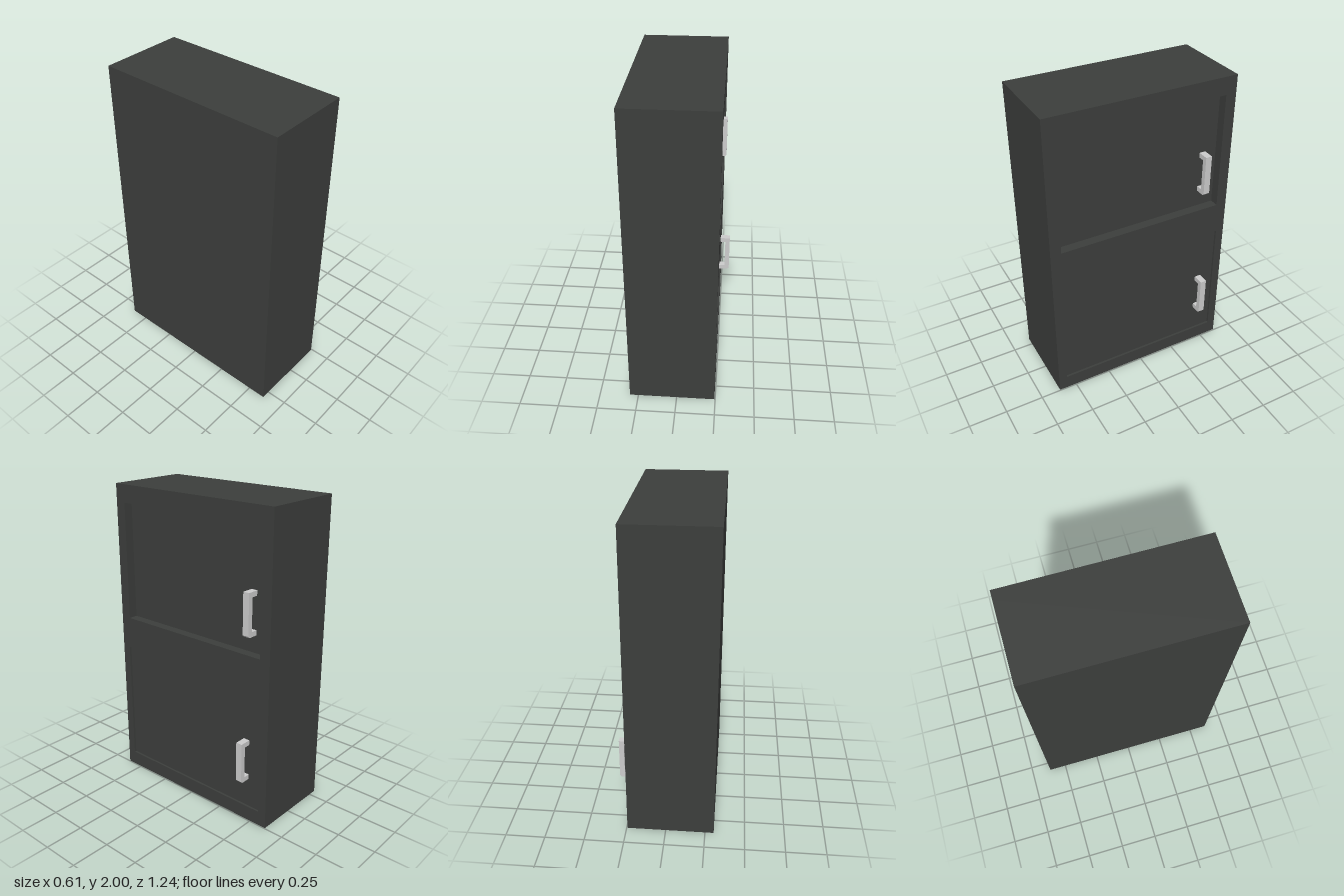
import * as THREE from 'three';

const BACK = -0.305, FRONT = 0.245, HALF = 0.618, HEIGHT = 2;
const FRAME = 0.06; // depth of the door frame, also the upper recess
const dark = new THREE.MeshStandardMaterial({ color: 0x3c3e3c });
const grey = new THREE.MeshStandardMaterial({ color: 0xcccccc });

// Door openings: half width, bottom, top, recess depth, handle base height
const doors = [
  { name: 'upper', half: 0.548, y0: 1.12, y1: 1.885, recess: 0.06, handleY: 1.232 },
  { name: 'lower', half: 0.563, y0: 0.095, y1: 0.91, recess: 0.014, handleY: 0.29 },
];

function rect(Type, half, y0, y1) {
  return new Type([[-half, y0], [half, y0], [half, y1], [-half, y1]]
    .map(([x, y]) => new THREE.Vector2(x, y)));
}

function add(group, name, geometry, material, x, y, z) {
  const mesh = new THREE.Mesh(geometry, material);
  mesh.name = name;
  mesh.position.set(x, y, z);
  group.add(mesh);
  return mesh;
}

// C-shaped pull with a small chamfer on its lower outer corner
function handleGeometry() {
  const reach = 0.074, height = 0.272, bar = 0.032, cut = 0.011;
  const profile = new THREE.Shape([
    [0, 0], [reach - cut, 0], [reach, cut], [reach, height], [0, height],
    [0, height - bar], [reach - bar, height - bar], [reach - bar, bar], [0, bar],
  ].map(([x, y]) => new THREE.Vector2(x, y)));
  return new THREE.ExtrudeGeometry(profile, { depth: 0.042, bevelEnabled: false });
}

export function createModel() {
  const cabinet = new THREE.Group();
  cabinet.name = 'cabinet';

  // Solid carcass behind the frame; its front is the upper door panel
  const depth = FRONT - FRAME - BACK;
  add(cabinet, 'carcass', new THREE.BoxGeometry(depth, HEIGHT, HALF * 2), dark,
    BACK + depth / 2, HEIGHT / 2, 0);

  // Front frame with two door openings, facing +x
  const frame = rect(THREE.Shape, HALF, 0, HEIGHT);
  frame.holes = doors.map((d) => rect(THREE.Path, d.half, d.y0, d.y1));
  add(cabinet, 'doorFrame',
    new THREE.ExtrudeGeometry(frame, { depth: FRAME, bevelEnabled: false }), dark,
    FRONT - FRAME, 0, 0).rotation.y = Math.PI / 2;

  // Door panels and handles
  const pull = handleGeometry();
  for (const d of doors) {
    const thick = FRAME - d.recess;
    if (thick > 0) {
      add(cabinet, d.name + 'DoorPanel',
        new THREE.BoxGeometry(thick, d.y1 - d.y0, d.half * 2), dark,
        FRONT - FRAME + thick / 2, (d.y0 + d.y1) / 2, 0);
    }
    add(cabinet, d.name + 'Handle', pull, grey, FRONT - d.recess, d.handleY, -0.471);
  }
  return cabinet;
}
